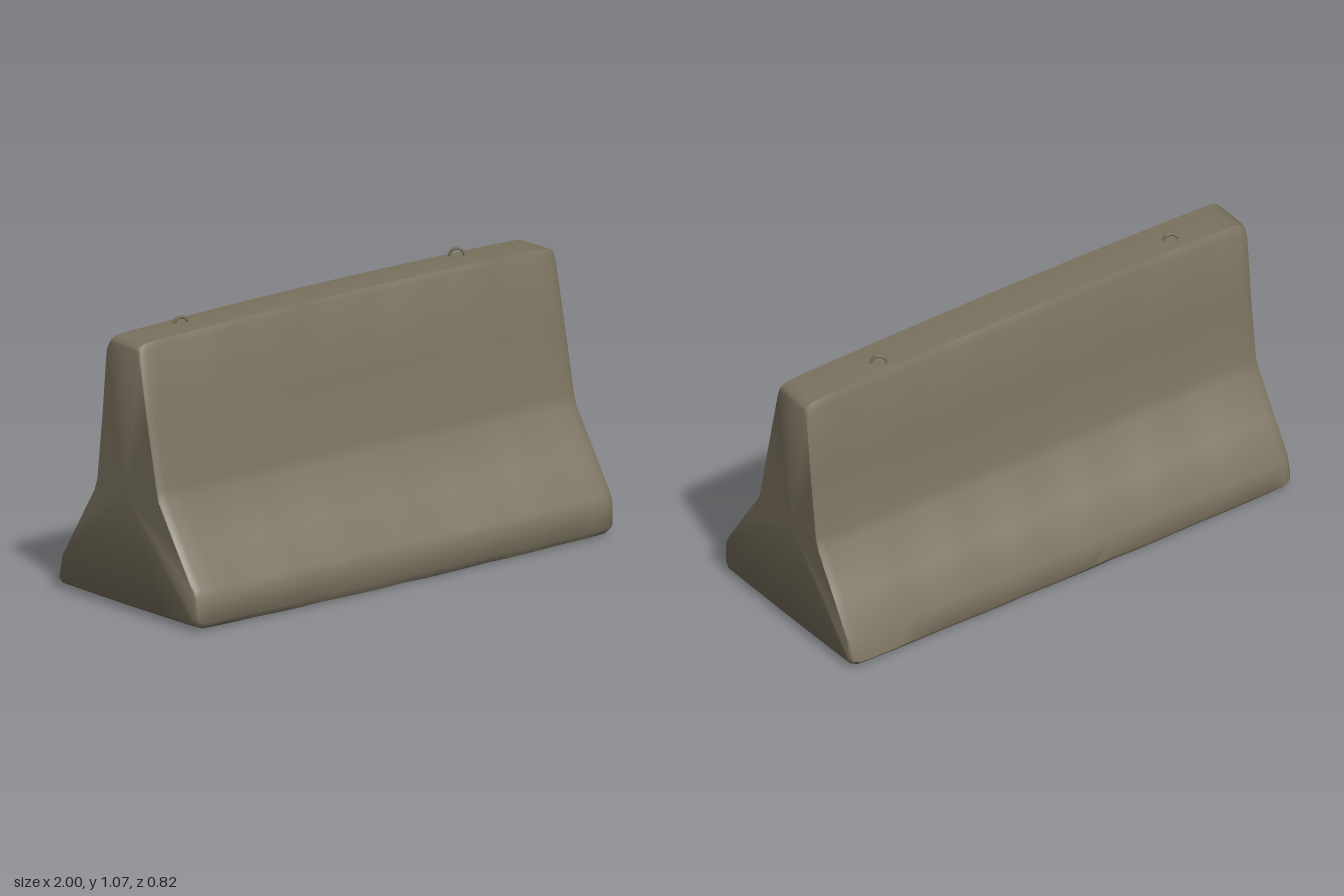
import * as THREE from 'three';
import { toCreasedNormals } from 'three/addons/utils/BufferGeometryUtils.js';

// Barrier cross-section as [z, y], from the front foot over the top to the back foot
const PROFILE = [
  [0.385, 0.014], [0.403, 0.035], [0.402, 0.12], [0.385, 0.155], [0.29, 0.295],
  [0.185, 0.452], [0.172, 0.5], [0.12, 0.75], [0.066, 1.005], [0.054, 1.029],
  [-0.03, 1.031], [-0.108, 1.027], [-0.123, 0.995], [-0.155, 0.72], [-0.182, 0.47],
  [-0.2, 0.42], [-0.3, 0.265], [-0.388, 0.115], [-0.406, 0.03], [-0.39, 0.014],
  [-0.2, 0.012], [0, 0.011], [0.2, 0.012],
];
const CENTRE = [-0.02, 0.45];

function createBlock(material) {
  // Stations along the length as [x, shrink]; the ends are rounded by shrinking
  const stations = [[-1, 0.05], [-0.992, 0.022], [-0.965, 0.003]];
  for (let i = -9; i <= 9; i++) stations.push([i * 0.1, 0]);
  stations.push([0.965, 0.003], [0.992, 0.022], [1, 0.05]);

  const n = PROFILE.length;
  const positions = [];
  const indices = [];
  stations.forEach(([x, shrink]) => {
    const bow = 1 - x * x;
    PROFILE.forEach(([z, y]) => {
      // Slight cast unevenness, bowed top and underside
      const side = y > 0.02 && y < 1.01 ? Math.sign(z) : 0;
      const wobble = 0.004 * Math.sin(x * 7 + y * 9 + z * 3) * Math.sin(x * 13 - y * 5);
      const lift = y > 0.9 ? 0.014 * bow : y < 0.02 ? -0.009 * bow : 0;
      const chip = y < 0.04 ? 0.003 * Math.sin(x * 17 + z * 4) * bow : 0;
      positions.push(
        x,
        CENTRE[1] + (y - CENTRE[1]) * (1 - shrink) + lift + Math.max(chip, 0),
        CENTRE[0] + (z - CENTRE[0]) * (1 - shrink) + side * wobble,
      );
    });
  });

  // Skin between neighbouring stations
  for (let i = 0; i < stations.length - 1; i++) {
    for (let j = 0; j < n; j++) {
      const k = (j + 1) % n;
      const a = i * n + j, b = a + n, c = i * n + k, d = c + n;
      indices.push(a, b, d, a, d, c);
    }
  }
  // End caps
  const left = positions.length / 3;
  positions.push(-1, CENTRE[1], CENTRE[0], 1, CENTRE[1], CENTRE[0]);
  const last = (stations.length - 1) * n;
  for (let j = 0; j < n; j++) {
    const k = (j + 1) % n;
    indices.push(left, j, k, left + 1, last + k, last + j);
  }

  const geometry = new THREE.BufferGeometry();
  geometry.setAttribute('position', new THREE.Float32BufferAttribute(positions, 3));
  geometry.setIndex(indices);
  const mesh = new THREE.Mesh(toCreasedNormals(geometry, 0.9), material);
  mesh.name = 'barrierBlock';
  return mesh;
}

// Bent bar set into the top for lifting
function createLiftingLoop(name, x, z, top, turn, material) {
  const curve = new THREE.CatmullRomCurve3([
    [-0.03, 1.01], [-0.028, top - 0.022], [-0.012, top - 0.008],
    [0.01, top - 0.009], [0.022, top - 0.024], [0.03, 1.01],
  ].map(([px, py]) => new THREE.Vector3(px, py, 0)));
  const mesh = new THREE.Mesh(new THREE.TubeGeometry(curve, 14, 0.006, 6), material);
  mesh.name = name;
  mesh.position.set(x, 0, z);
  mesh.rotation.y = turn;
  return mesh;
}

export function createModel() {
  const concrete = new THREE.MeshStandardMaterial({ color: 0x7b725f });
  concrete.name = 'concrete';
  const model = new THREE.Group();
  model.name = 'concreteBarrier';
  model.add(
    createBlock(concrete),
    createLiftingLoop('rightLiftingLoop', -0.7, -0.048, 1.066, -0.35, concrete),
    createLiftingLoop('leftLiftingLoop', 0.63, -0.058, 1.075, -0.6, concrete),
  );
  return model;
}
